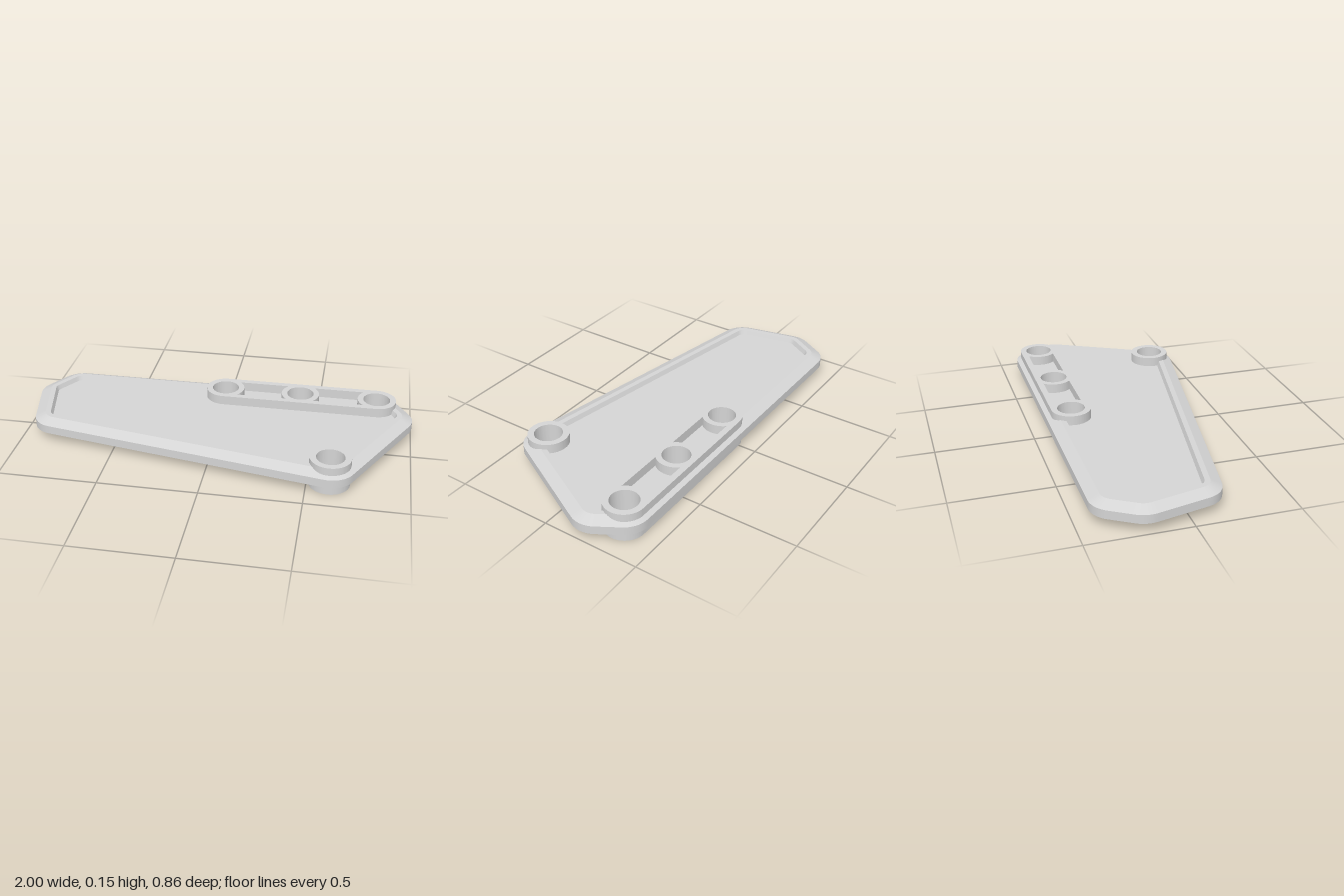
import * as THREE from 'three';
import { toCreasedNormals } from 'three/addons/utils/BufferGeometryUtils.js';

// Plan coordinates are (x, -z), counter-clockwise seen from above.
const HEIGHT = 0.147, BOSS_R = 0.1015, HOLE_R = 0.07;
const FLOOR_LOW = 0.05, FLOOR_HIGH = 0.098;
const EDGE_R = 0.125, CLEAR_R = 0.086;
const ROW_Y = 0.305, ROW_X = [0.003, 0.407, 0.811];
const PIN = [0.61, -0.305];
const CORNERS = [PIN, [0.875, 0.2], [0.811, 0.305], [-0.81, 0.305], [-0.875, 0.2], [-0.82, -0.055]];

// Outline around circles of radius r at the corners, with finely divided sides
function outline(r) {
  const n = CORNERS.length, points = [];
  const side = (i) => {
    const a = CORNERS[(i + n) % n], b = CORNERS[(i + 1) % n];
    const dx = b[0] - a[0], dy = b[1] - a[1];
    return { a, dx, dy, length: Math.hypot(dx, dy), angle: Math.atan2(-dx, dy) };
  };
  for (let i = 0; i < n; i++) {
    const before = side(i - 1), s = side(i);
    let turn = s.angle - before.angle;
    if (turn < 0) turn += Math.PI * 2;
    for (let k = 0; k <= 8; k++) {
      const t = before.angle + turn * k / 8;
      points.push([s.a[0] + r * Math.cos(t), s.a[1] + r * Math.sin(t)]);
    }
    const steps = Math.ceil(s.length / 0.015);
    for (let k = 1; k < steps; k++) {
      points.push([
        s.a[0] + s.dx * k / steps + r * Math.cos(s.angle),
        s.a[1] + s.dy * k / steps + r * Math.sin(s.angle),
      ]);
    }
  }
  return points;
}

// Nearest boss axis if the point lies within its cleared core
function bossAt(x, y) {
  const row = [Math.min(Math.max(x, ROW_X[0]), ROW_X[2]), ROW_Y];
  return [row, PIN].find((c) => Math.hypot(x - c[0], y - c[1]) < CLEAR_R);
}

// Rim: bevelled cross-section swept around the outline, open where bosses pass through
function rimGeometry() {
  const profile = [[0.09, FLOOR_LOW], [0.08, 0.027], [0.054, 0.027], [0, 0.053],
    [0, 0.096], [0.054, 0.121], [0.08, 0.121], [0.09, FLOOR_HIGH]];
  const rings = profile.map(([inset]) => outline(EDGE_R - inset));
  const count = rings[0].length, positions = [], index = [];
  rings.forEach((ring, j) => ring.forEach(([x, y]) => positions.push(x, profile[j][1], -y)));
  for (let j = 0; j < rings.length - 1; j++) {
    const inner = j < 2 || j > 4;
    for (let i = 0; i < count; i++) {
      const k = (i + 1) % count;
      const quad = [rings[j][i], rings[j][k], rings[j + 1][k], rings[j + 1][i]];
      const mid = [0, 1].map((c) => quad.reduce((sum, p) => sum + p[c], 0) / 4);
      if (inner && bossAt(mid[0], mid[1])) continue;
      const a = j * count + i, b = j * count + k;
      index.push(a, b, b + count, a, b + count, a + count);
    }
  }
  const geometry = new THREE.BufferGeometry();
  geometry.setAttribute('position', new THREE.Float32BufferAttribute(positions, 3));
  geometry.setIndex(index);
  return toCreasedNormals(geometry, 0.35);
}

// Floor outline, bent inward around the bosses
function floorShape() {
  return new THREE.Shape(outline(EDGE_R - 0.09).map(([x, y]) => {
    const c = bossAt(x, y);
    if (c) {
      const reach = Math.sqrt(Math.max(0, CLEAR_R ** 2 - (x - c[0]) ** 2));
      y = c[1] - Math.sign(c[1]) * reach;
    }
    return new THREE.Vector2(x, y);
  }));
}

const circle = (Type, x, y, r) => new Type().absarc(x, y, r, 0, Math.PI * 2, false);

// Pocket between two neighbouring holes, with concave ends
function pocket(Type, x1, x2) {
  const a = Math.asin(0.7), r = 0.1;
  const path = new Type();
  path.absarc(x1, ROW_Y, r, -a, a, false);
  path.absarc(x2, ROW_Y, r, Math.PI - a, Math.PI + a, false);
  path.closePath();
  return path;
}

function slab(shape, low, high) {
  const geometry = new THREE.ExtrudeGeometry(shape, { depth: high - low, bevelEnabled: false, curveSegments: 40 });
  geometry.rotateX(-Math.PI / 2).translate(0, low, 0);
  return toCreasedNormals(geometry, 0.5);
}

export function createModel() {
  const model = new THREE.Group();
  model.name = 'panel';
  const grey = new THREE.MeshStandardMaterial({ color: 0xd4d4d4 });
  grey.name = 'light grey';
  const add = (name, geometry) => {
    const mesh = new THREE.Mesh(geometry, grey);
    mesh.name = name;
    model.add(mesh);
  };

  add('rim', rimGeometry());
  add('panelFloor', slab(floorShape(), FLOOR_LOW, FLOOR_HIGH));

  // Three-hole beam with pockets on both faces
  const beam = new THREE.Shape();
  beam.absarc(ROW_X[2], ROW_Y, BOSS_R, -Math.PI / 2, Math.PI / 2, false);
  beam.absarc(ROW_X[0], ROW_Y, BOSS_R, Math.PI / 2, Math.PI * 1.5, false);
  beam.closePath();
  ROW_X.forEach((x) => beam.holes.push(circle(THREE.Path, x, ROW_Y, HOLE_R)));
  for (let i = 0; i < 2; i++) {
    beam.holes.push(pocket(THREE.Path, ROW_X[i], ROW_X[i + 1]));
    add('pocketFloor', slab(pocket(THREE.Shape, ROW_X[i], ROW_X[i + 1]), FLOOR_LOW, FLOOR_HIGH));
  }
  add('holeBeam', slab(beam, 0, HEIGHT));

  // Single round boss at the front corner
  const boss = circle(THREE.Shape, PIN[0], PIN[1], BOSS_R);
  boss.holes.push(circle(THREE.Path, PIN[0], PIN[1], HOLE_R));
  add('cornerBoss', slab(boss, 0, HEIGHT));

  return model;
}
